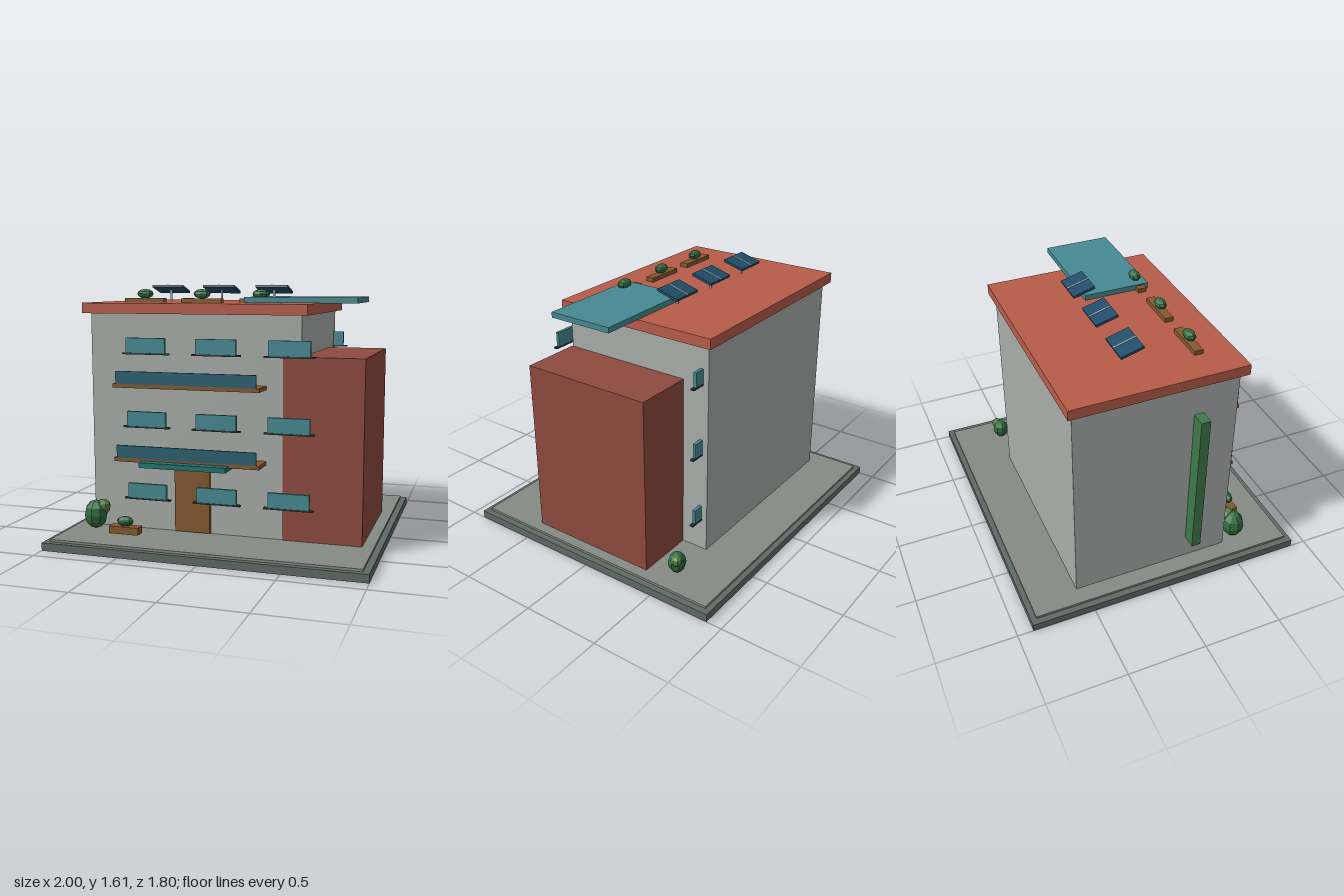
import * as THREE from 'three';

const mat = (color) => new THREE.MeshStandardMaterial({ color, flatShading: true });
const M = {
  stone: mat(0x5f6b67), paving: mat(0x858b84), wall: mat(0xa8aeaa), roof: mat(0xb85c4a),
  wing: mat(0x8e4a3e), glass: mat(0x468a92), dark: mat(0x27383a), rail: mat(0x2a6170),
  wood: mat(0x84582f), teal: mat(0x217470), panel: mat(0x1f4c68), metal: mat(0xcccccc),
  vine: mat(0x3f7a4a), leaf: mat(0x2f6b3f), leafLight: mat(0x547f3c),
};

export function createModel() {
  const model = new THREE.Group();

  // Box given by its extents along each axis
  function box(name, x0, x1, y0, y1, z0, z1, material, parent = model) {
    const mesh = new THREE.Mesh(new THREE.BoxGeometry(x1 - x0, y1 - y0, z1 - z0), material);
    mesh.position.set((x0 + x1) / 2, (y0 + y1) / 2, (z0 + z1) / 2);
    mesh.name = name;
    parent.add(mesh);
    return mesh;
  }

  // Low-poly foliage ball
  function foliage(name, x, y, z, rx, ry, rz, material) {
    const mesh = new THREE.Mesh(new THREE.SphereGeometry(1, 8, 6), material);
    mesh.scale.set(rx, ry, rz);
    mesh.position.set(x, y, z);
    mesh.name = name;
    model.add(mesh);
  }

  // Ground
  box('base', -1, 1, 0, 0.05, -0.9, 0.9, M.stone);
  box('paving', -0.96, 0.96, 0.05, 0.065, -0.865, 0.865, M.paving);

  // Building volumes
  box('mainBlock', -0.85, 0.51, 0.065, 1.43, -0.565, 0.46, M.wall);
  box('roofSlab', -0.895, 0.55, 1.43, 1.495, -0.6, 0.495, M.roof);
  box('sideWing', 0.4, 0.89, 0.065, 1.185, -0.39, 0.467, M.wing);
  box('greenWall', -0.94, -0.85, 0.225, 1.205, 0.18, 0.24, M.vine);

  // Windows with sills, standing proud of the front and set into the back
  function window_(x, y, z) {
    const g = new THREE.Group();
    g.name = 'window';
    box('pane', -0.128, 0.128, 0.005, 0.097, -0.01, 0.01, M.glass, g);
    box('sill', -0.153, 0.153, -0.005, 0.005, -0.012, 0.012, M.dark, g);
    g.position.set(x, y, z);
    model.add(g);
  }
  for (const y of [0.273, 0.73, 1.187]) {
    for (const x of [-0.457, -0.002, 0.452]) {
      window_(x, y, 0.522);
      window_(x, y, -0.518);
    }
  }

  // Balconies
  for (const y of [0.523, 0.983]) {
    box('balconySlab', -0.64, 0.295, y, y + 0.024, 0.45, 0.612, M.wood);
    box('balconyRail', -0.622, 0.275, y + 0.024, y + 0.102, 0.6, 0.612, M.rail);
  }

  // Entrance
  box('door', -0.29, -0.06, 0.07, 0.503, 0.45, 0.483, M.wood);
  box('doorCanopy', -0.45, 0.102, 0.503, 0.535, 0.45, 0.67, M.teal);

  // Roof terrace cover
  box('terraceCover', 0.117, 0.815, 1.498, 1.532, -0.098, 0.328, M.glass);

  // Roof planters and tilted solar panels
  for (const x of [-0.557, -0.174, 0.21]) {
    box('roofPlanter', x - 0.132, x + 0.132, 1.495, 1.522, 0.245, 0.3, M.wood);
    foliage('roofPlant', x, 1.55, 0.276, 0.056, 0.03, 0.035, M.leaf);
  }
  for (const x of [-0.535, -0.173, 0.188]) {
    box('panelPost', x - 0.006, x + 0.006, 1.495, 1.575, -0.122, -0.11, M.metal);
    const solar = new THREE.Group();
    solar.name = 'solarPanel';
    box('cells', -0.108, 0.108, -0.008, 0.008, -0.074, 0.074, M.panel, solar);
    box('centreStrip', -0.004, 0.004, 0.008, 0.011, -0.074, 0.074, M.metal, solar);
    solar.position.set(x, 1.577, -0.118);
    solar.rotation.x = -0.28;
    model.add(solar);
  }

  // Ground planter
  box('groundPlanter', -0.655, -0.46, 0.078, 0.124, 0.613, 0.678, M.wood);
  foliage('groundPlant', -0.557, 0.154, 0.647, 0.056, 0.031, 0.036, M.leaf);

  // Bushes
  foliage('bush', -0.8, 0.16, 0.557, 0.076, 0.092, 0.073, M.leaf);
  foliage('bushTop', -0.76, 0.204, 0.537, 0.05, 0.05, 0.05, M.leafLight);
  foliage('bush', 0.787, 0.131, -0.543, 0.058, 0.067, 0.055, M.leaf);
  foliage('bushTop', 0.817, 0.163, -0.56, 0.036, 0.036, 0.036, M.leafLight);

  return model;
}
